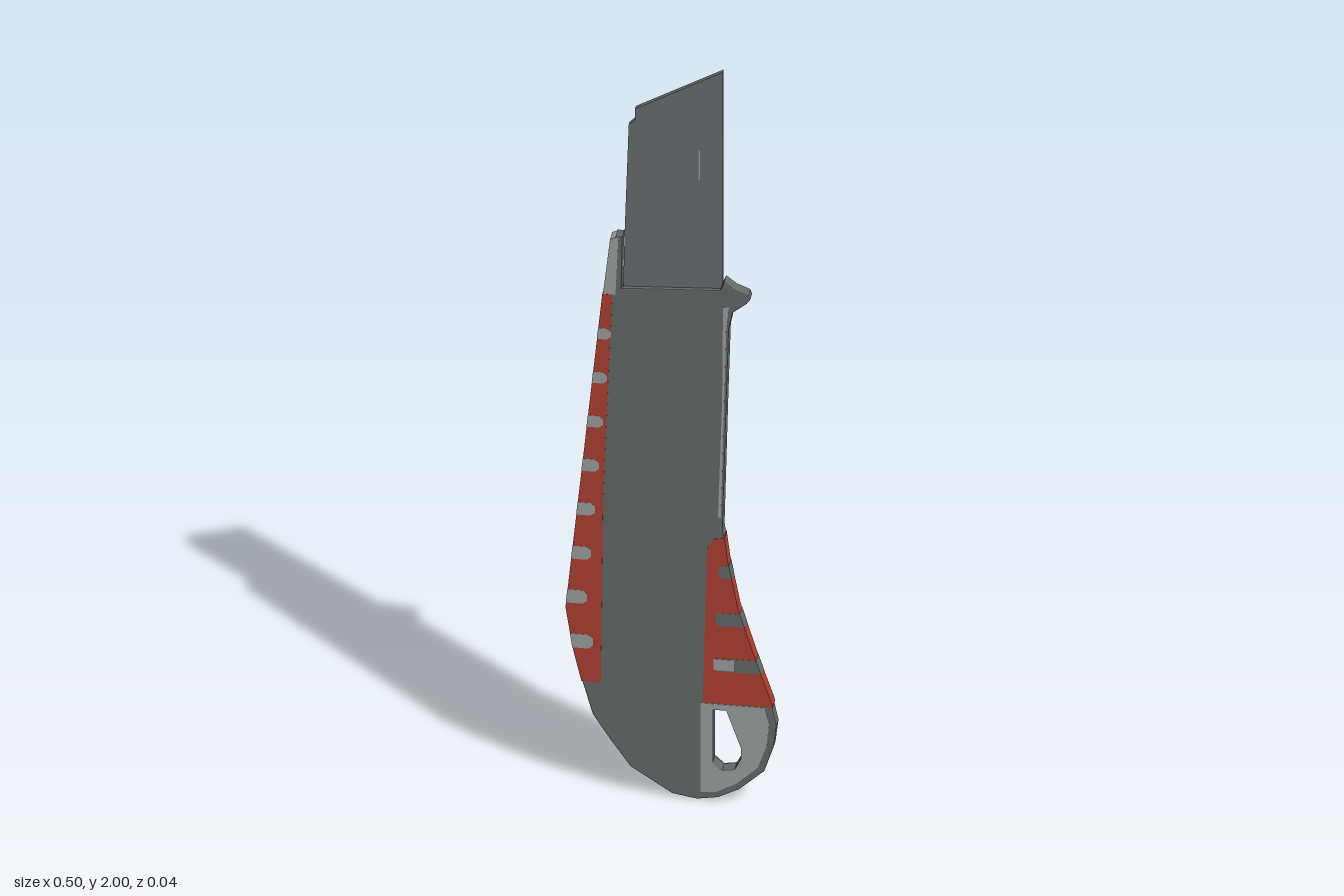
import * as THREE from 'three';

const mat = (name, color) => {
  const m = new THREE.MeshStandardMaterial({ color });
  m.name = name;
  return m;
};

// Outer edges of the handle as [x, y], bottom to top
const LEFT = [[0.06, 0], [0, 0.01], [-0.1, 0.075], [-0.145, 0.14], [-0.19, 0.21], [-0.215, 0.3],
  [-0.236, 0.39], [-0.253, 0.5], [-0.165, 1.37], [-0.148, 1.52]];
const RIGHT = [[0.06, 0], [0.11, 0.009], [0.16, 0.035], [0.22, 0.09], [0.243, 0.16], [0.25, 0.22],
  [0.237, 0.28], [0.2, 0.39], [0.157, 0.53], [0.132, 0.66], [0.121, 0.75], [0.13, 1.1], [0.136, 1.3]];
const HOLE = [[0.098, 0.25], [0.13, 0.25], [0.165, 0.15], [0.165, 0.12], [0.15, 0.09], [0.12, 0.085], [0.098, 0.105]];

// Edge x at height y
function edgeX(edge, y) {
  for (let i = 1; i < edge.length; i++) {
    const [x0, y0] = edge[i - 1], [x1, y1] = edge[i];
    if (y <= y1) return x0 + (x1 - x0) * (y - y0) / (y1 - y0);
  }
  return edge[edge.length - 1][0];
}

// Edge points between two heights, pushed outwards by grow
function edgeRun(edge, y0, y1, grow) {
  const inner = edge.filter(p => p[1] > y0 && p[1] < y1);
  return [[edgeX(edge, y0), y0], ...inner, [edgeX(edge, y1), y1]].map(([x, y]) => [x + grow, y]);
}

const toPoints = pts => pts.map(([x, y]) => new THREE.Vector2(x, y));

// Prism from a flat outline, centred on z = 0
function slab(name, pts, half, material, { hole, bevel = 0, z = 0 } = {}) {
  const shape = new THREE.Shape(toPoints(pts));
  if (hole) shape.holes.push(new THREE.Path(toPoints(hole)));
  const geo = new THREE.ExtrudeGeometry(shape, {
    depth: 2 * (half - bevel), bevelEnabled: bevel > 0, bevelThickness: bevel,
    bevelSize: bevel, bevelOffset: -bevel, bevelSegments: 2,
  });
  geo.translate(0, 0, z - half + bevel);
  const mesh = new THREE.Mesh(geo, material);
  mesh.name = name;
  return mesh;
}

export function createModel() {
  const group = new THREE.Group();
  group.name = 'utilityKnife';
  const dark = mat('dark grey', 0x666b6a);
  const steel = mat('blade grey', 0x6a6f6f);
  const light = mat('light grey', 0xa0a2a2);
  const red = mat('red', 0xb04033);
  const H = 0.0165;

  // Blade with slanted tip
  group.add(slab('blade', [[-0.12, 1.3], [0.12, 1.3], [0.12, 2], [-0.09, 1.88], [-0.09, 1.85],
    [-0.105, 1.835], [-0.115, 1.53]], 0.007, steel));
  group.add(slab('bladeMark', [[0.062, 1.7], [0.066, 1.7], [0.066, 1.78], [0.062, 1.78]], 0.0005, light, { z: 0.0073 }));

  // Handle body with the thumb catch at its upper right
  const catchPts = [[0.145, 1.345], [0.178, 1.372], [0.187, 1.385], [0.183, 1.397], [0.15, 1.41], [0.125, 1.43]];
  group.add(slab('handle', [...RIGHT, ...catchPts, [0.115, 1.405], [-0.115, 1.39], ...LEFT.slice(1, -1).reverse()],
    H, dark, { hole: HOLE, bevel: 0.003 }));

  // Blade guide tab on the left
  group.add(slab('guideTab', [[-0.135, 1.37], [-0.122, 1.37], [-0.119, 1.53], [-0.135, 1.53]], H, dark));
  group.add(slab('guideTabEdge', [[-0.165, 1.37], [-0.135, 1.37], [-0.128, 1.53], [-0.148, 1.522]], H + 0.0005, light));

  // Pale slider rail on both faces
  for (const s of [1, -1]) {
    group.add(slab('sliderRail', [[0.11, 0.78], [0.117, 0.78], [0.13, 1.3], [0.136, 1.36], [0.122, 1.36], [0.12, 1.1]],
      0.0008, light, { z: s * H }));
  }

  // Long grip on the left, wrapped around the edge
  group.add(slab('backGrip', [[-0.17, 0.3], [-0.165, 0.8], [-0.143, 1.37], ...edgeRun(LEFT, 0.3, 1.37, -0.0015).reverse()],
    H + 0.001, red));
  for (let i = 0; i < 8; i++) {
    const y = 0.41 + i * 0.1215, h = 0.019 - i * 0.0006, w = 0.05 - i * 0.0028;
    const x = edgeX(LEFT, y);
    group.add(slab('backRib', [[edgeX(LEFT, y - h) - 0.002, y - h], [x + w - 0.01, y - h], [x + w, y - h / 2],
      [x + w, y + h / 2], [x + w - 0.01, y + h], [edgeX(LEFT, y + h) - 0.002, y + h]], H + 0.0016, light));
  }

  // Short grip on the right
  group.add(slab('palmGrip', [...edgeRun(RIGHT, 0.268, 0.725, 0.0015), [0.1, 0.72], [0.084, 0.69], [0.074, 0.268]],
    H + 0.001, red));
  for (const [y, x0] of [[0.63, 0.108], [0.5, 0.1], [0.375, 0.1]]) {
    const a = y - 0.018, b = y + 0.018;
    group.add(slab('palmRib', [[x0 + 0.01, a], [edgeX(RIGHT, a) + 0.002, a], [edgeX(RIGHT, b) + 0.002, b],
      [x0 + 0.01, b], [x0, y]], H + 0.0014, dark));
  }
  group.add(slab('palmRibHighlight', [[0.1, 0.36], [0.148, 0.36], [0.148, 0.39], [0.1, 0.39]], H + 0.0018, light));

  // Pale lanyard eye around the hole, on both faces
  const eye = [[0.068, 0.02], [0.105, 0.024], [0.155, 0.052], [0.205, 0.1], [0.226, 0.16], [0.232, 0.22], [0.222, 0.266], [0.068, 0.266]];
  for (const s of [1, -1]) group.add(slab('lanyardEye', eye, 0.0008, light, { hole: HOLE, z: s * H }));

  return group;
}
